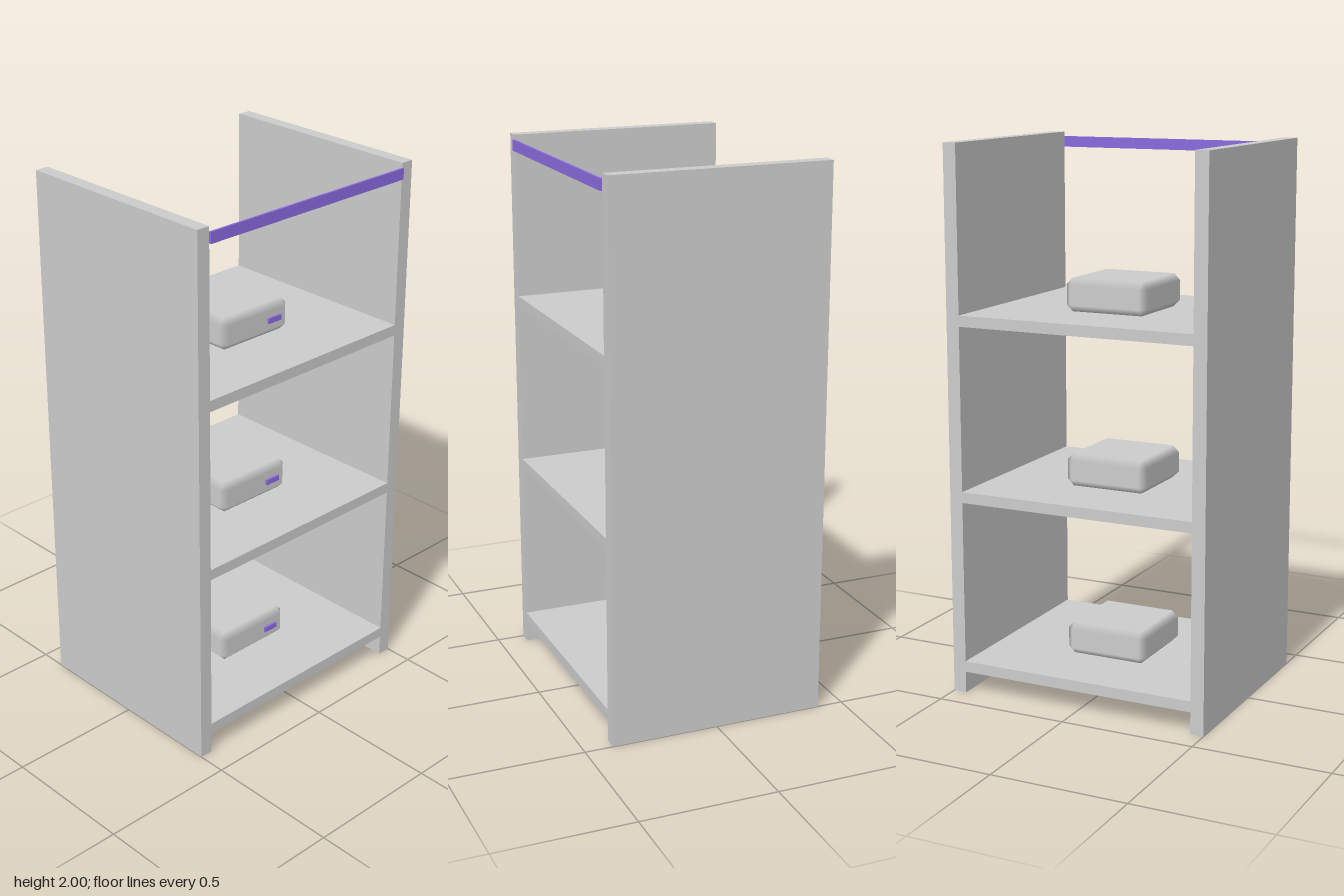
import * as THREE from 'three';
import { ConvexGeometry } from 'three/addons/geometries/ConvexGeometry.js';

const grey = new THREE.MeshStandardMaterial({ color: 0xcccccc });
const purple = new THREE.MeshStandardMaterial({ color: 0x8a6be0 });

function addBox(parent, name, size, position, material = grey) {
  const mesh = new THREE.Mesh(new THREE.BoxGeometry(...size), material);
  mesh.name = name;
  mesh.position.set(...position);
  parent.add(mesh);
  return mesh;
}

// Box with a chamfer on every edge; each vertex keeps the normal of its main
// face, so the faces stay even and the chamfers blend softly.
function chamferedBox(size, chamfer) {
  const half = size.map((s) => s / 2);
  const points = [];
  for (let axis = 0; axis < 3; axis++) {
    for (const sx of [-1, 1]) for (const sy of [-1, 1]) for (const sz of [-1, 1]) {
      const p = [sx, sy, sz].map((s, i) => s * (half[i] - (i === axis ? 0 : chamfer)));
      points.push(new THREE.Vector3(...p));
    }
  }
  const geometry = new ConvexGeometry(points);
  const { position, normal } = geometry.attributes;
  for (let i = 0; i < position.count; i++) {
    const n = half.map((h, k) => {
      const v = position.getComponent(i, k);
      return Math.abs(v) > h - chamfer / 2 ? Math.sign(v) : 0;
    });
    normal.setXYZ(i, ...n);
  }
  return geometry;
}

export function createModel() {
  const model = new THREE.Group();
  model.name = 'shelfRack';
  const depth = 0.8, midZ = -0.004;

  // Side panels
  addBox(model, 'leftPanel', [0.05, 2, depth], [0.475, 1, midZ]);
  addBox(model, 'rightPanel', [0.05, 2, depth], [-0.475, 1, midZ]);

  // Front strip near the top
  addBox(model, 'lightStrip', [0.9, 0.04, 0.008], [0, 1.963, 0.4], purple);

  // Shelves, each carrying a device with a small indicator light
  const deviceGeometry = chamferedBox([0.32, 0.12, 0.32], 0.024);
  for (let i = 0; i < 3; i++) {
    const top = 0.12 + i * 0.64;
    addBox(model, 'shelf', [0.9, 0.04, depth], [0, top - 0.02, midZ]);

    const device = new THREE.Group();
    device.name = 'device';
    device.position.set(0, top + 0.06, midZ);
    const body = new THREE.Mesh(deviceGeometry, grey);
    body.name = 'deviceBody';
    device.add(body);
    addBox(device, 'indicatorLight', [0.06, 0.02, 0.016], [0.08, 0, 0.16], purple);
    model.add(device);
  }
  return model;
}
